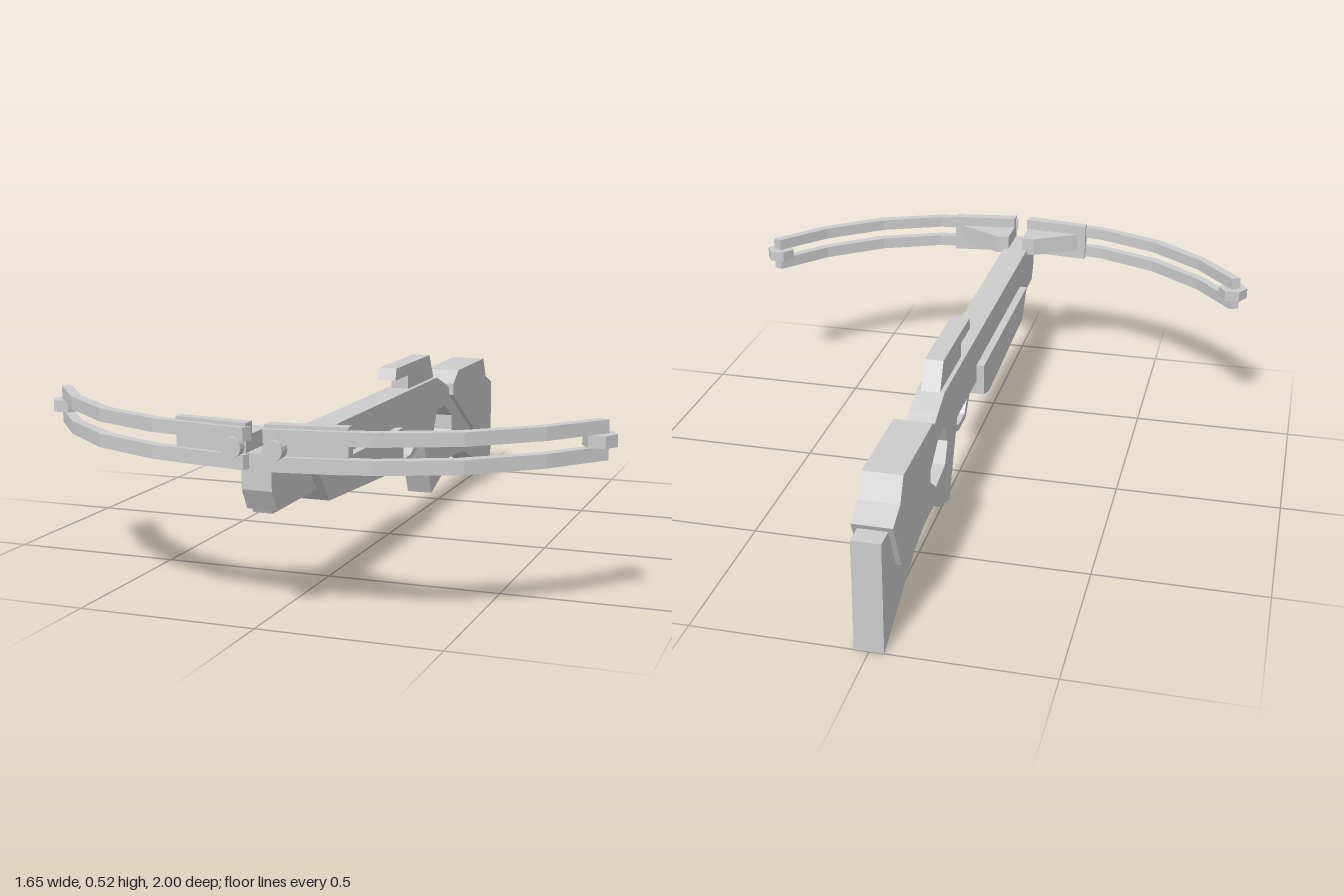
import * as THREE from 'three';

const material = new THREE.MeshStandardMaterial({ color: 0xcccccc, flatShading: true });

function makeShape(points, hole) {
  const shape = new THREE.Shape(points.map(([a, b]) => new THREE.Vector2(a, b)));
  if (hole) shape.holes.push(new THREE.Path(hole.map(([a, b]) => new THREE.Vector2(a, b))));
  return shape;
}

function addMesh(parent, name, geometry) {
  const mesh = new THREE.Mesh(geometry, material);
  mesh.name = name;
  parent.add(mesh);
  return mesh;
}

// Side profile of [z, y] points, extruded across x
function sideSlab(points, halfWidth, hole) {
  const g = new THREE.ExtrudeGeometry(makeShape(points, hole), { depth: 2 * halfWidth, bevelEnabled: false });
  return g.rotateY(-Math.PI / 2).translate(halfWidth, 0, 0);
}

// Plan outline of [x, z] points, extruded from y0 up to y1; side mirrors x
function planSlab(points, y0, y1, side) {
  const shape = makeShape(points.map(([x, z]) => [x * side, z]));
  const g = new THREE.ExtrudeGeometry(shape, { depth: y1 - y0, bevelEnabled: false });
  return g.rotateX(Math.PI / 2).translate(0, y1, 0);
}

export function createModel() {
  const model = new THREE.Group();
  model.name = 'crossbow';

  // Stock with pistol grip and thumb hole
  addMesh(model, 'stock', sideSlab([
    [0.97, 0.445], [0.97, 0.35], [0.94, 0.295], [-0.2, 0.295], [-0.3, 0.068], [-0.41, 0.105],
    [-0.475, 0.15], [-0.595, 0.147], [-0.68, 0.132], [-1, 0], [-1, 0.33], [-0.94, 0.33],
    [-0.6, 0.37], [-0.48, 0.393], [-0.43, 0.415], [-0.35, 0.445],
  ], 0.041, [
    [-0.355, 0.338], [-0.44, 0.338], [-0.515, 0.292], [-0.515, 0.243],
    [-0.455, 0.197], [-0.35, 0.212], [-0.32, 0.275],
  ]));

  // Narrow keel under the front end
  addMesh(model, 'keel', sideSlab([
    [0.965, 0.345], [0.935, 0.285], [0.62, 0.285], [0.62, 0.345],
  ], 0.027));

  // Raised cheek rest
  addMesh(model, 'cheekRest', sideSlab([
    [-0.485, 0.405], [-0.485, 0.367], [-0.755, 0.195], [-0.875, 0.195],
    [-0.945, 0.345], [-0.875, 0.375], [-0.84, 0.443], [-0.54, 0.443],
  ], 0.056));

  // Fore grip
  addMesh(model, 'foreGrip', sideSlab([
    [0.725, 0.35], [0.65, 0.258], [0.125, 0.23], [0.05, 0.253], [0.05, 0.35],
  ], 0.065));

  // Sight rail overhanging the bolt groove
  addMesh(model, 'sightRail', sideSlab([
    [0.02, 0.488], [0.008, 0.524], [-0.31, 0.524], [-0.355, 0.44], [-0.1, 0.44], [-0.1, 0.488],
  ], 0.028));

  // Trigger guard
  addMesh(model, 'triggerGuard', sideSlab([
    [0.05, 0.3], [-0.035, 0.21], [-0.13, 0.21], [-0.225, 0.253],
    [-0.21, 0.272], [-0.125, 0.229], [-0.05, 0.229], [0.015, 0.3],
  ], 0.027));

  for (const side of [1, -1]) {
    const bow = new THREE.Group();
    bow.name = side > 0 ? 'leftBow' : 'rightBow';
    model.add(bow);

    // Twin limbs sharing one curved outline
    const limb = [
      [0.027, 0.99], [0.065, 0.985], [0.3, 0.948], [0.505, 0.862], [0.675, 0.722], [0.8, 0.568],
      [0.773, 0.555], [0.652, 0.705], [0.483, 0.838], [0.293, 0.92], [0.016, 0.962],
    ];
    addMesh(bow, 'lowerLimb', planSlab(limb, 0.405, 0.442, side));
    addMesh(bow, 'upperLimb', planSlab(limb, 0.475, 0.511, side));

    // Limb pocket plate and its wedge bracket
    addMesh(bow, 'pocketPlate', planSlab(
      [[0.025, 0.975], [0.235, 0.942], [0.235, 0.912], [0.025, 0.937]], 0.4, 0.52, side));
    addMesh(bow, 'bracket', planSlab(
      [[0.025, 0.95], [0.225, 0.925], [0.065, 0.832], [0.025, 0.832]], 0.43, 0.488, side));

    // Hexagonal limb tip pulley
    const tip = addMesh(bow, 'tipPulley', new THREE.CylinderGeometry(0.046, 0.046, 0.033, 6));
    tip.rotation.y = Math.PI / 6;
    tip.position.set(0.778 * side, 0.4585, 0.573);

    // Mounting bolt
    const bolt = addMesh(bow, 'mountingBolt', new THREE.CylinderGeometry(0.027, 0.027, 0.05, 16));
    bolt.rotation.x = Math.PI / 2;
    bolt.position.set(0.056 * side, 0.46, 0.975);
  }
  return model;
}
